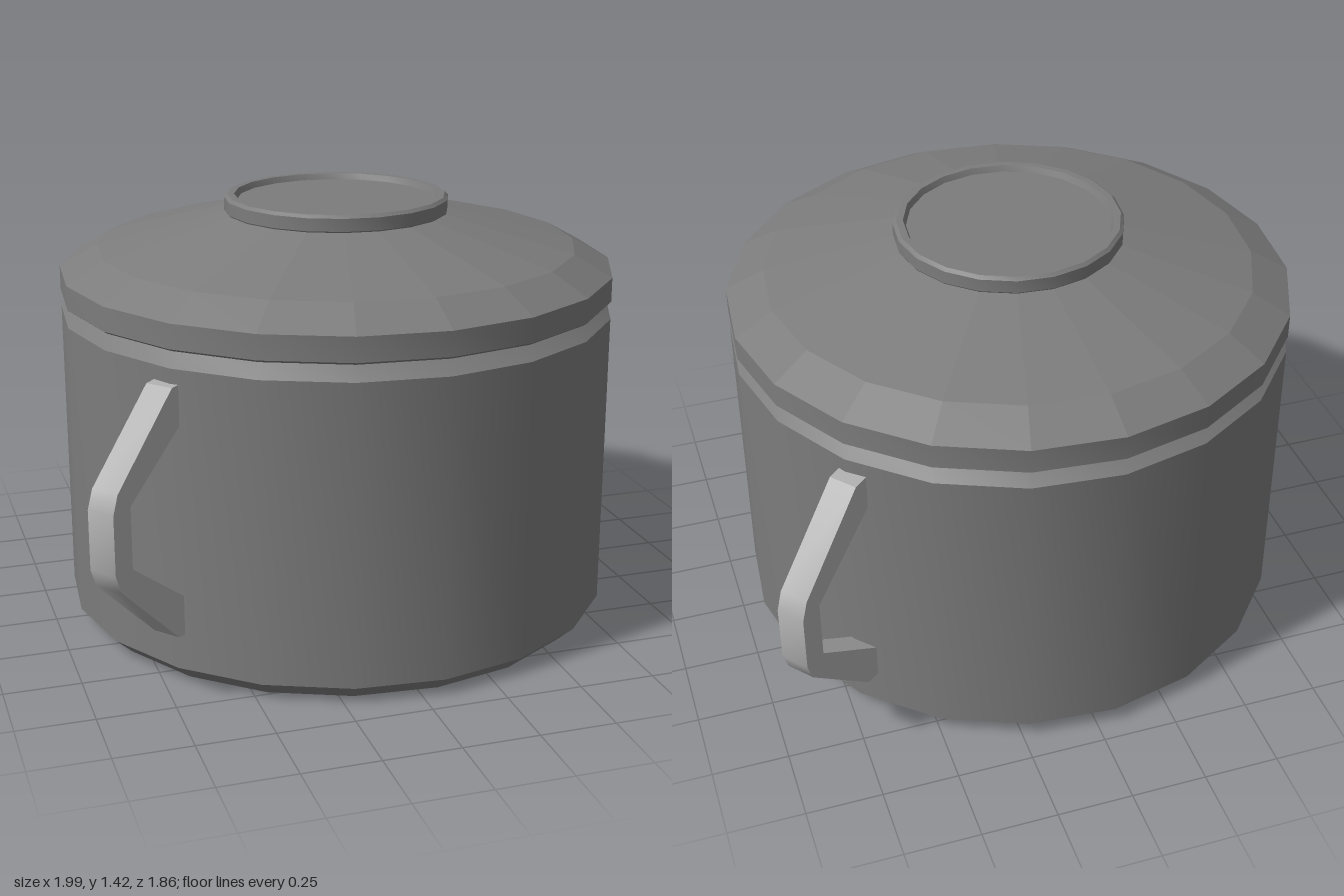
import * as THREE from 'three';
import { toCreasedNormals } from 'three/addons/utils/BufferGeometryUtils.js';

const SIDES = 20;
const TURN = THREE.MathUtils.degToRad(4);
const SMOOTH = 0.5;
const FACETED = 0.05;

// Revolved part from a bottom-to-top profile of [radius, height]
function turned(name, profile, material, crease = SMOOTH) {
  const points = profile.map(([r, y]) => new THREE.Vector2(r, y));
  const geometry = toCreasedNormals(new THREE.LatheGeometry(points, SIDES, TURN), crease);
  const mesh = new THREE.Mesh(geometry, material);
  mesh.name = name;
  mesh.position.set(0.006, 0, -0.003);
  return mesh;
}

// Angular grip: the upper half outline is mirrored about its middle height
function handleGeometry() {
  const width = 0.096;
  const outer = [[0.913, 0.412], [0.965, 0.408], [1.235, 0.155], [1.258, 0.095]];
  const inner = [[1.178, 0.1], [0.913, 0.295]];
  const flip = (list) => list.map(([r, y]) => [r, -y]).reverse();
  const outline = [...outer, ...flip(outer), ...flip(inner), ...inner];
  const shape = new THREE.Shape(outline.map(([r, y]) => new THREE.Vector2(r, y)));
  const geometry = new THREE.ExtrudeGeometry(shape, { depth: width, bevelEnabled: false });
  geometry.translate(0, 0, -width / 2);
  return toCreasedNormals(geometry, SMOOTH);
}

export function createModel() {
  const model = new THREE.Group();
  model.name = 'cookingPot';
  const potMetal = new THREE.MeshStandardMaterial({ color: 0x7c7c7c });
  const handleMetal = new THREE.MeshStandardMaterial({ color: 0xb0b0b0 });

  // Pot body with chamfered foot and shoulder
  model.add(turned('body', [
    [0, 0], [0.872, 0], [0.931, 0.055], [0.931, 1.045], [0.87, 1.1], [0, 1.1],
  ], potMetal));

  // Upright lid rim
  model.add(turned('lidRim', [
    [0, 1.097], [0.92, 1.097], [0.931, 1.105], [0.931, 1.185],
  ], potMetal));

  // Shallow conical lid top
  model.add(turned('lidTop', [
    [0.931, 1.185], [0.805, 1.255], [0.37, 1.367],
  ], potMetal, FACETED));

  // Low round knob with a shallow recess
  model.add(turned('lidKnob', [
    [0.37, 1.36], [0.376, 1.37], [0.376, 1.412], [0.365, 1.422],
    [0.342, 1.422], [0.333, 1.402], [0, 1.402],
  ], potMetal));

  // Pair of opposite side handles
  const grip = handleGeometry();
  const handles = new THREE.Group();
  handles.name = 'handles';
  handles.position.set(-0.002, 0.587, -0.024);
  ['leftHandle', 'rightHandle'].forEach((name, i) => {
    const handle = new THREE.Mesh(grip, handleMetal);
    handle.name = name;
    handle.rotation.y = THREE.MathUtils.degToRad(40) + i * Math.PI;
    handles.add(handle);
  });
  model.add(handles);

  return model;
}
